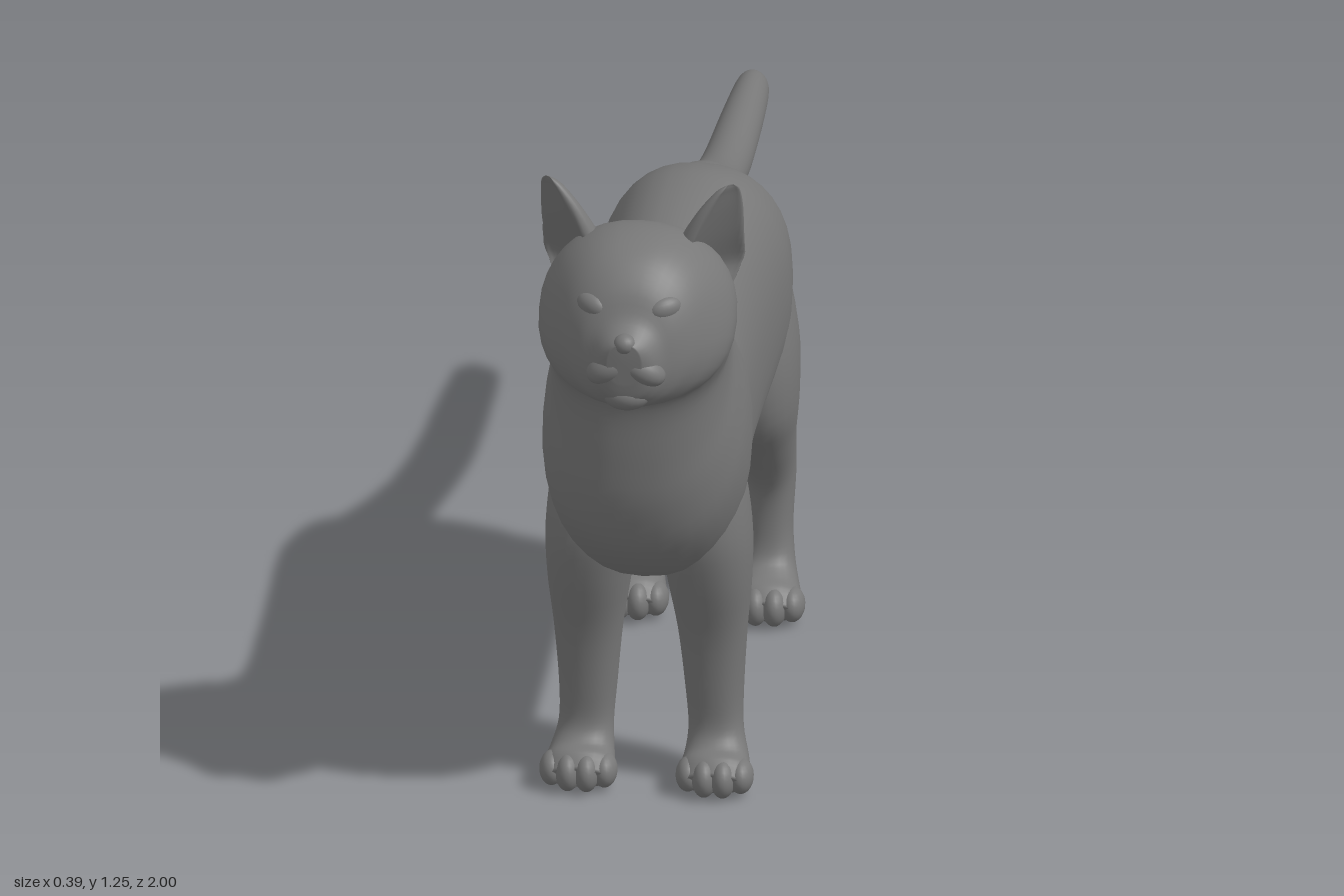
import * as THREE from 'three';

const material = new THREE.MeshStandardMaterial({ color: 0x787878 });

// Catmull-Rom blend of one number through four neighbours
const spline = (a, b, c, d, t) =>
  b + 0.5 * t * (c - a + t * (2 * a - 5 * b + 4 * c - d + t * (3 * (b - c) + d - a)));

// Smooth skin over rings [zA, yA, zB, yB, halfWidth, centreX]: A and B are opposite ends of a ring
function loft(rings, { side = 1, power = 2.2, steps = 4, segments = 36 } = {}) {
  const fine = [];
  const at = i => rings[Math.min(rings.length - 1, Math.max(0, i))];
  for (let i = 0; i < rings.length - 1; i++) {
    for (let k = 0; k < steps; k++) {
      fine.push(at(i).map((v, c) => spline(at(i - 1)[c], v, at(i + 1)[c], at(i + 2)[c], k / steps)));
    }
  }
  fine.push(at(rings.length - 1));

  const pos = [], index = [];
  const soft = v => Math.sign(v) * Math.pow(Math.abs(v), 2 / power);
  for (const [zA, yA, zB, yB, w, cx = 0] of fine) {
    for (let j = 0; j < segments; j++) {
      const a = (j / segments) * Math.PI * 2;
      const c = soft(Math.cos(a)), s = soft(Math.sin(a));
      pos.push(side * cx + s * w, (yA + yB) / 2 + c * (yA - yB) / 2, (zA + zB) / 2 + c * (zA - zB) / 2);
    }
  }
  for (let i = 0; i < fine.length - 1; i++) {
    for (let j = 0; j < segments; j++) {
      const a = i * segments + j, b = i * segments + (j + 1) % segments;
      index.push(a, a + segments, b, b, a + segments, b + segments);
    }
  }
  // end caps
  const last = (fine.length - 1) * segments, tip = pos.length / 3;
  for (const [zA, yA, zB, yB, , cx = 0] of [fine[0], fine[fine.length - 1]]) {
    pos.push(side * cx, (yA + yB) / 2, (zA + zB) / 2);
  }
  for (let j = 0; j < segments; j++) {
    const n = (j + 1) % segments;
    index.push(tip, j, n, tip + 1, last + n, last + j);
  }
  const geo = new THREE.BufferGeometry();
  geo.setAttribute('position', new THREE.Float32BufferAttribute(pos, 3));
  geo.setIndex(index);
  geo.computeVertexNormals();
  return geo;
}

function add(parent, name, geometry) {
  const mesh = new THREE.Mesh(geometry, material);
  mesh.name = name;
  parent.add(mesh);
  return mesh;
}

function ellipsoid(parent, name, [x, y, z], [rx, ry, rz]) {
  const mesh = add(parent, name, new THREE.SphereGeometry(1, 20, 14));
  mesh.position.set(x, y, z);
  mesh.scale.set(rx, ry, rz);
  return mesh;
}

// Leg with four toes
function leg(parent, name, rings, side, toeZ) {
  const group = new THREE.Group();
  group.name = name;
  add(group, name + 'Limb', loft(rings, { side, segments: 28 }));
  [-0.048, -0.017, 0.017, 0.048].forEach((dx, i) => {
    const middle = i === 1 || i === 2;
    ellipsoid(group, 'toe', [side * 0.124 + dx, 0.036, toeZ + (middle ? 0.008 : -0.008)],
      [0.023, middle ? 0.036 : 0.032, 0.036]);
  });
  parent.add(group);
}

// Ear: hollowed cone, opening forward and outward
function ear(parent, name, side) {
  const geo = loft([
    [0.052, 0.188, 0.044, 0.186, 0.008, 0.008],
    [0.054, 0.174, 0.026, 0.172, 0.026, 0.008],
    [0.046, 0.13, -0.002, 0.13, 0.05, 0.004],
    [0.04, 0.07, -0.035, 0.07, 0.068, 0],
    [0.04, 0.01, -0.045, 0.01, 0.074, 0],
    [0.035, -0.04, -0.04, -0.04, 0.058, -0.01],
  ], { side, power: 2 });
  const p = geo.attributes.position;
  for (let i = 0; i < p.count; i++) {
    // fold the front half back inside the shell
    const mid = 0.05 * Math.min(1, Math.max(0, p.getY(i) / 0.18));
    const d = p.getZ(i) - mid;
    if (d > 0) p.setZ(i, mid - d * 0.6);
  }
  geo.computeVertexNormals();
  const mesh = add(parent, name, geo);
  mesh.position.set(side * 0.126, 1.06, 0.725);
  mesh.rotation.y = side * 0.75;
}

export function createModel() {
  const cat = new THREE.Group();
  cat.name = 'cat';

  // Rump, barrel, chest, neck, head and snout as one bending skin
  add(cat, 'bodyAndHead', loft([
    [-0.285, 0.76, -0.29, 0.68, 0.035],
    [-0.265, 0.81, -0.275, 0.58, 0.115],
    [-0.2, 0.87, -0.24, 0.5, 0.158],
    [-0.1, 0.91, -0.12, 0.43, 0.175],
    [0, 0.925, 0, 0.415, 0.172],
    [0.2, 0.927, 0.2, 0.405, 0.165],
    [0.4, 0.925, 0.42, 0.405, 0.167],
    [0.48, 0.92, 0.58, 0.415, 0.178],
    [0.51, 0.928, 0.7, 0.445, 0.188],
    [0.535, 0.95, 0.8, 0.53, 0.186],
    [0.56, 0.98, 0.845, 0.63, 0.175],
    [0.58, 1.015, 0.86, 0.73, 0.164],
    [0.605, 1.055, 0.868, 0.82, 0.165],
    [0.64, 1.1, 0.88, 0.862, 0.178],
    [0.69, 1.14, 0.9, 0.87, 0.178],
    [0.75, 1.165, 0.92, 0.875, 0.164],
    [0.82, 1.168, 0.935, 0.88, 0.142],
    [0.88, 1.15, 0.95, 0.887, 0.117],
    [0.925, 1.11, 0.96, 0.894, 0.09],
    [0.952, 1.06, 0.97, 0.902, 0.067],
    [0.978, 1.036, 0.98, 0.915, 0.05],
    [0.994, 1.026, 0.986, 0.945, 0.03],
  ], { power: 2.25 }));

  // Tail, tip to root
  add(cat, 'tail', loft([
    [-1, 0.7, -1, 0.675, 0.01],
    [-0.985, 0.715, -0.985, 0.656, 0.024],
    [-0.95, 0.725, -0.95, 0.648, 0.032],
    [-0.8, 0.736, -0.8, 0.652, 0.039],
    [-0.6, 0.752, -0.6, 0.662, 0.044],
    [-0.45, 0.78, -0.465, 0.685, 0.047],
    [-0.33, 0.82, -0.35, 0.715, 0.054],
    [-0.24, 0.858, -0.27, 0.74, 0.065],
    [-0.15, 0.885, -0.18, 0.76, 0.07],
  ], { power: 2 }));

  const foreLeg = [
    [0.66, 0.74, 0.58, 0.74, 0.03, 0.1],
    [0.69, 0.64, 0.54, 0.64, 0.07, 0.1],
    [0.705, 0.52, 0.508, 0.52, 0.085, 0.102],
    [0.685, 0.42, 0.505, 0.4, 0.077, 0.109],
    [0.645, 0.3, 0.512, 0.3, 0.063, 0.113],
    [0.625, 0.18, 0.508, 0.18, 0.053, 0.115],
    [0.62, 0.115, 0.525, 0.095, 0.05, 0.118],
    [0.637, 0.085, 0.555, 0.035, 0.058, 0.122],
    [0.665, 0.076, 0.605, 0.004, 0.064, 0.123],
    [0.685, 0.05, 0.655, 0.004, 0.055, 0.123],
  ];
  const hindLeg = [
    [-0.1, 0.8, -0.18, 0.8, 0.02, 0.09],
    [-0.03, 0.7, -0.25, 0.71, 0.058, 0.095],
    [0, 0.56, -0.27, 0.58, 0.082, 0.1],
    [-0.025, 0.43, -0.253, 0.47, 0.078, 0.106],
    [-0.1, 0.34, -0.257, 0.38, 0.062, 0.112],
    [-0.16, 0.27, -0.288, 0.31, 0.05, 0.118],
    [-0.184, 0.22, -0.298, 0.26, 0.046, 0.12],
    [-0.188, 0.15, -0.28, 0.16, 0.042, 0.12],
    [-0.178, 0.105, -0.262, 0.085, 0.046, 0.121],
    [-0.15, 0.086, -0.232, 0.03, 0.056, 0.122],
    [-0.122, 0.075, -0.18, 0.004, 0.064, 0.123],
    [-0.1, 0.05, -0.13, 0.004, 0.055, 0.123],
  ];

  for (const [label, side] of [['left', 1], ['right', -1]]) {
    leg(cat, label + 'FrontLeg', foreLeg, side, 0.653);
    leg(cat, label + 'HindLeg', hindLeg, side, -0.132);
    ear(cat, label + 'Ear', side);
    const eye = ellipsoid(cat, label + 'Eye', [side * 0.066, 1.07, 0.917], [0.034, 0.023, 0.021]);
    eye.rotation.set(0, side * 0.6, side * 0.15);
    // whisker pad
    const pad = ellipsoid(cat, label + 'Muzzle', [side * 0.029, 0.968, 0.958], [0.047, 0.029, 0.034]);
    pad.rotation.z = side * -0.5;
  }
  ellipsoid(cat, 'nose', [0, 1.022, 0.978], [0.021, 0.019, 0.021]);
  ellipsoid(cat, 'chin', [0, 0.912, 0.948], [0.044, 0.03, 0.036]);
  return cat;
}
